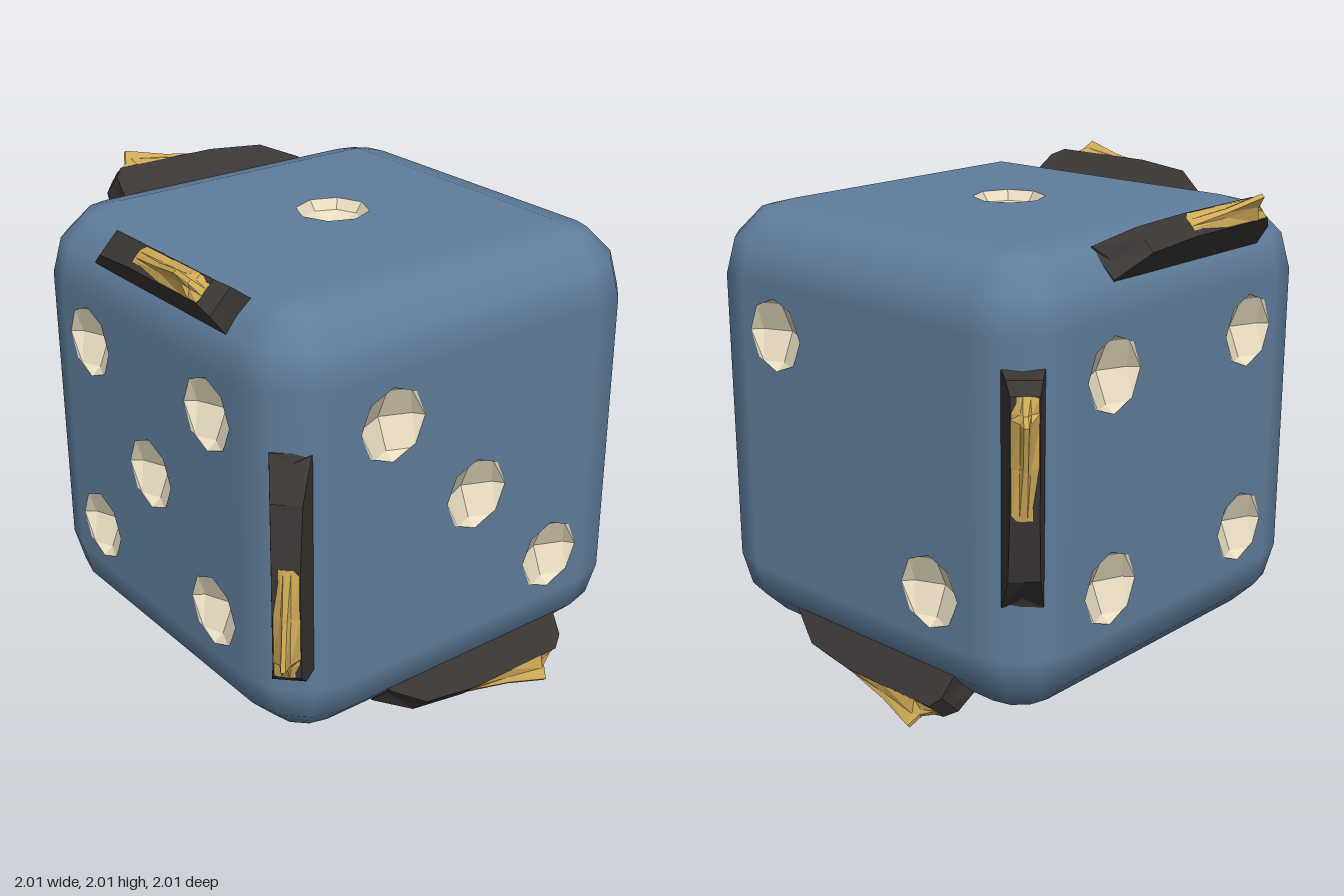
import * as THREE from 'three';

const HALF = 0.925, ROUND = 0.3, FLAT = HALF - ROUND, PIP = 0.43, Q = Math.PI / 2;
const blue = new THREE.MeshStandardMaterial({ color: 0x5f7d9b });
const paint = (color) => new THREE.MeshStandardMaterial({ color, flatShading: true });
const ivory = paint(0xe8dcc0), dark = paint(0x3a3634), gold = paint(0xd0ab58);

function add(parent, name, geometry, material) {
  const mesh = new THREE.Mesh(geometry, material);
  mesh.name = name;
  parent.add(mesh);
  return mesh;
}

// Shallow faceted bowl sunk to -z; its pole lies along y, or along z when axial
function pipGeometry(axial) {
  const g = axial
    ? new THREE.SphereGeometry(1, 8, 2, 0, Math.PI * 2, Q, Q).rotateX(Q)
    : new THREE.SphereGeometry(1, 4, 4, Math.PI, Math.PI);
  const p = g.attributes.position;
  for (let i = 0; i < p.count; i++) {
    const z = p.getZ(i), rim = z > -0.01;
    const s = rim ? 0.152 : 0.172;
    // mirrored in x so that the inside is the visible side
    p.setXYZ(i, -p.getX(i) * s, p.getY(i) * s, rim ? 0 : z * 0.172 - -0.08);
  }
  const flat = g.toNonIndexed();
  flat.computeVertexNormals();
  return flat;
}

// Flat face with an octagonal opening for each pip
function faceGeometry(pips) {
  const shape = new THREE.Shape([[-1, -1], [1, -1], [1, 1], [-1, 1]]
    .map(([x, y]) => new THREE.Vector2(x * FLAT, y * FLAT)));
  for (const [x, y] of pips) {
    const ring = [];
    for (let k = 0; k < 8; k++) {
      const a = -k * Math.PI / 4;
      ring.push(new THREE.Vector2(x * PIP + Math.cos(a) * 0.152, y * PIP + Math.sin(a) * 0.152));
    }
    shape.holes.push(new THREE.Path(ring));
  }
  return new THREE.ShapeGeometry(shape);
}

// Skin over a row of closed sections running along +x, capped at both ends
function loft(sections) {
  const pos = [], n = sections[0].length;
  const tri = (...pts) => pts.forEach((p) => pos.push(...p));
  for (let i = 0; i + 1 < sections.length; i++) {
    for (let j = 0; j < n; j++) {
      const k = (j + 1) % n, A = sections[i], B = sections[i + 1];
      tri(A[j], A[k], B[k]);
      tri(A[j], B[k], B[j]);
    }
  }
  const first = sections[0], last = sections[sections.length - 1];
  for (let j = 1; j + 1 < n; j++) {
    tri(first[0], first[j + 1], first[j]);
    tri(last[0], last[j], last[j + 1]);
  }
  const g = new THREE.BufferGeometry();
  g.setAttribute('position', new THREE.Float32BufferAttribute(pos, 3));
  g.computeVertexNormals();
  return g;
}

function finGeometry() {
  // [along, top height, half width at top, notch of the centre line]
  const stations = [
    [-0.40, 1.18, 0.078, 0.04], [-0.25, 1.285, 0.06, 0], [0, 1.317, 0.054, 0],
    [0.465, 1.317, 0.054, 0], [0.51, 1.27, 0.066, 0], [0.523, 1.17, 0.08, -0.01],
  ];
  return loft(stations.map(([u, top, w, notch]) => [
    [u, 1.168, -0.081], [u, top, -w], [u + notch, top + Math.max(notch, 0) * 0.2, 0],
    [u, top, w], [u, 1.168, 0.081], [u + notch, 1.08, 0.05], [u + notch, 1.08, -0.05],
  ]));
}

function crestGeometry() {
  // [along, ridge height]
  const stations = [[0, 1.319], [0.2, 1.36], [0.38, 1.414], [0.405, 1.355], [0.465, 1.32]];
  return loft(stations.map(([u, top]) => {
    const mid = 1.317 + (top - 1.317) * 0.5;
    return [[u, 1.314, -0.054], [u, mid, -0.02], [u, top, -0.009],
      [u, top, 0.009], [u, mid, 0.02], [u, 1.314, 0.054]];
  }));
}

export function createModel() {
  const model = new THREE.Group();
  model.name = 'die';
  const core = new THREE.Group();
  core.name = 'core';
  core.position.y = 1;
  model.add(core);

  // Faces and their pips
  const corners = [[-1, 1], [1, 1], [-1, -1], [1, -1]];
  const faces = [
    ['front', 0, 0, [[-1, 1], [0, 0], [1, -1]]],
    ['right', 0, Q, [[-1, 1], [1, -1]]],
    ['back', 0, 2 * Q, corners],
    ['left', 0, -Q, [...corners, [0, 0]]],
    ['top', -Q, 0, [[0, 0]]],
    ['bottom', Q, 0, [...corners, [-1, 0], [1, 0]]],
  ];
  const sidePip = pipGeometry(false), axialPip = pipGeometry(true);
  for (const [name, rx, ry, pips] of faces) {
    const side = new THREE.Group();
    side.name = name + 'Side';
    side.rotation.set(rx, ry, 0);
    core.add(side);
    add(side, name + 'Face', faceGeometry(pips), blue).position.z = HALF;
    for (const [x, y] of pips) {
      add(side, 'pip', rx ? axialPip : sidePip, ivory).position.set(x * PIP, y * PIP, HALF);
    }
  }

  // Rounded edges, four along each axis
  for (const [rx, rz] of [[0, 0], [Q, 0], [0, Q]]) {
    const edges = new THREE.Group();
    edges.name = 'roundedEdges';
    edges.rotation.set(rx, 0, rz);
    core.add(edges);
    for (let k = 0; k < 4; k++) {
      const mid = (k + 0.5) * Q;
      add(edges, 'roundedEdge', new THREE.CylinderGeometry(ROUND, ROUND, FLAT * 2, 3, 1, true, k * Q, Q), blue)
        .position.set(Math.sign(Math.sin(mid)) * FLAT, 0, Math.sign(Math.cos(mid)) * FLAT);
    }
  }

  // Rounded corners
  for (let k = 0; k < 4; k++) {
    const mid = (k + 0.5) * Q;
    for (const up of [1, -1]) {
      add(core, 'roundedCorner', new THREE.SphereGeometry(ROUND, 3, 3, k * Q, Q, up > 0 ? 0 : Q, Q), blue)
        .position.set(-Math.sign(Math.cos(mid)) * FLAT, up * FLAT, Math.sign(Math.sin(mid)) * FLAT);
    }
  }

  // Crested fins on six edges: [direction along the edge, direction outwards]
  const fins = [
    [[0, -1, 0], [-1, 0, 1]], [[1, 0, 0], [0, -1, 1]], [[0, 0, -1], [1, -1, 0]],
    [[0, 1, 0], [1, 0, -1]], [[-1, 0, 0], [0, 1, -1]], [[0, 0, 1], [-1, 1, 0]],
  ];
  const fin = finGeometry(), crest = crestGeometry();
  for (const [along, out] of fins) {
    const t = new THREE.Vector3(...along), r = new THREE.Vector3(...out).normalize();
    const group = new THREE.Group();
    group.name = 'edgeFin';
    group.quaternion.setFromRotationMatrix(new THREE.Matrix4().makeBasis(t, r, t.clone().cross(r)));
    add(group, 'fin', fin, dark);
    add(group, 'crest', crest, gold);
    core.add(group);
  }
  return model;
}
